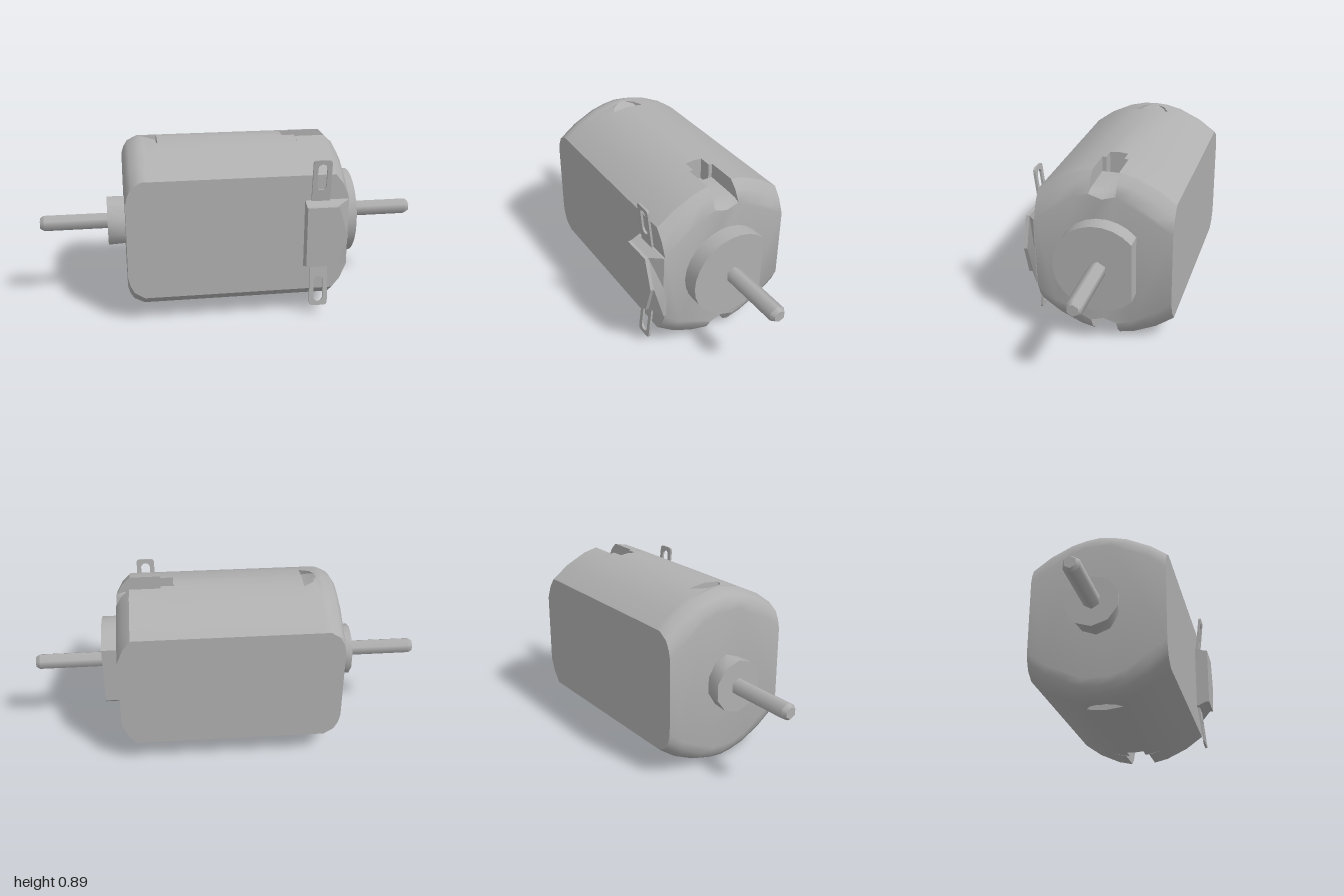
import * as THREE from 'three';
import { toCreasedNormals } from 'three/addons/utils/BufferGeometryUtils.js';

const CY = 0.447, CZ = -0.035;          // shaft axis
const steel = new THREE.MeshStandardMaterial({ color: 0xb0b0b0 });
steel.name = 'steel grey';

function add(group, name, geometry) {
  const mesh = new THREE.Mesh(geometry, steel);
  mesh.name = name;
  group.add(mesh);
  return mesh;
}

// Closed solid through rings that run counterclockwise seen from the last ring's side
function loft(rings, flatten, axis, crease) {
  const pos = [];
  const tri = (a, b, c) => {
    const n = b.clone().sub(a).cross(c.clone().sub(a));
    if (n.length() > 1e-8) pos.push(...a, ...b, ...c);
  };
  for (let i = 0; i < rings.length - 1; i++) {
    const p = rings[i], q = rings[i + 1];
    p.forEach((a, j) => {
      const k = (j + 1) % p.length;
      tri(a, p[k], q[k]);
      tri(a, q[k], q[j]);
    });
  }
  for (const [ring, sign] of [[rings[0], -1], [rings[rings.length - 1], 1]]) {
    for (const f of THREE.ShapeUtils.triangulateShape(ring.map(flatten), [])) {
      const [a, b, c] = f.map((i) => ring[i]);
      const n = b.clone().sub(a).cross(c.clone().sub(a));
      if (n.dot(axis) * sign > 0) tri(a, b, c);
      else tri(a, c, b);
    }
  }
  const g = new THREE.BufferGeometry();
  g.setAttribute('position', new THREE.Float32BufferAttribute(pos, 3));
  return toCreasedNormals(g, crease);
}

// Half height of the can at a distance from its middle
const ARC = [[0, 0.445], [0.07, 0.439], [0.14, 0.422], [0.25, 0.371], [0.339, 0.307]];
function canHeight(z, drop) {
  const d = Math.abs(z);
  let i = 1;
  while (i < ARC.length - 1 && d > ARC[i][0]) i++;
  const [z0, y0] = ARC[i - 1], [z1, y1] = ARC[i];
  return y0 + (y1 - y0) * (d - z0) / (z1 - z0) - drop * (1 + 0.45 * d / 0.339);
}

// Can cross-section with a notch of half width w, floor at side and middle heights
function canRing([x, drop, w, side = 1, mid = side]) {
  const h = (z) => canHeight(z, drop);
  const top = [-0.339, -0.25, -0.14, -w].map((z) => [z, h(z)]);
  top.push([-w, Math.min(side, h(w))], [0, Math.min(mid, h(0))], [w, Math.min(side, h(w))]);
  top.push(...[w, 0.14, 0.25, 0.339].map((z) => [z, h(z)]));
  const all = [...top, ...top.map(([z, y]) => [-z, -y])];
  return all.map(([z, y]) => new THREE.Vector3(x, CY + y, CZ + z));
}

function buildCan() {
  const sections = [
    // rounded closed end
    [-0.56, 0.08, 0.065], [-0.55, 0.05, 0.065], [-0.53, 0.022, 0.065], [-0.48, 0, 0.065],
    // punched dent
    [-0.45, 0, 0.02], [-0.43, 0, 0.06, 0.428], [-0.38, 0, 0.09, 0.405], [-0.38, 0, 0.09],
    // narrow slot, then wide channel out through the end
    [0.27, 0, 0.045], [0.27, 0, 0.045, 0.33], [0.335, 0, 0.045, 0.33],
    [0.335, 0, 0.065, 0.365], [0.49, 0, 0.065, 0.36], [0.53, 0.035, 0.065, 0.357, 0.345],
    [0.56, 0.085, 0.065, 0.345, 0.325],
  ];
  return loft(sections.map(canRing), (p) => new THREE.Vector2(-p.z, p.y),
    new THREE.Vector3(1, 0, 0), 0.7);
}

// Cylinder along x on the shaft axis
function axleCylinder(x0, x1, r0, r1, sides) {
  const g = new THREE.CylinderGeometry(r1, r0, x1 - x0, sides, 1, false, Math.PI / 2);
  g.rotateZ(-Math.PI / 2);
  return g.translate((x0 + x1) / 2, CY, CZ);
}

// Round boss with its back cut flat
function buildBoss() {
  const s = new THREE.Shape();
  const r = 0.225, a = Math.acos(0.165 / r);
  s.absarc(0, 0, r, -Math.PI + a, Math.PI - a, false);
  s.closePath();
  const g = new THREE.ExtrudeGeometry(s, { depth: 0.09, bevelEnabled: false, curveSegments: 10 });
  g.rotateY(-Math.PI / 2);            // shape x to z, depth to -x
  g.translate(0.645, CY, CZ);
  return toCreasedNormals(g, 0.7);
}

// Terminal block with sloping sides
function buildBlock() {
  const ring = (z, pts) => pts.map(([x, y]) => new THREE.Vector3(x, y, z));
  const base = [[0.335, 0.27], [0.56, 0.27], [0.56, CY], [0.56, 0.624], [0.335, 0.624]];
  const face = [[0.335, 0.29], [0.495, 0.29], [0.545, CY], [0.495, 0.604], [0.335, 0.604]];
  return loft([ring(0.295, base), ring(0.31, base), ring(0.355, face), ring(0.373, face)],
    (p) => new THREE.Vector2(p.x, p.y), new THREE.Vector3(0, 0, 1), 0.3);
}

// Flat solder lug with a long eye, standing up from y = 0
function buildLug() {
  const s = new THREE.Shape();
  const w = 0.047, h = 0.235, c = 0.02;
  s.moveTo(-w, 0).lineTo(w, 0).lineTo(w, h - c).quadraticCurveTo(w, h, w - c, h);
  s.lineTo(c - w, h).quadraticCurveTo(-w, h, -w, h - c).closePath();
  const eye = new THREE.Path();
  eye.absarc(0, 0.19, 0.024, 0, Math.PI, false);
  eye.absarc(0, 0.1, 0.024, Math.PI, Math.PI * 2, false);
  s.holes.push(eye);
  return new THREE.ExtrudeGeometry(s, { depth: 0.011, bevelEnabled: false, curveSegments: 5 });
}

export function createModel() {
  const motor = new THREE.Group();
  motor.name = 'electricMotor';

  add(motor, 'can', buildCan());
  add(motor, 'frontBoss', buildBoss());

  // Rear boss, flaring slightly outward in depth only
  const rear = axleCylinder(-0.65, -0.55, 0.133, 0.133, 10);
  const p = rear.attributes.position;
  for (let i = 0; i < p.count; i++) {
    if (p.getX(i) > -0.6) p.setZ(i, CZ + (p.getZ(i) - CZ) * 0.84);
  }
  add(motor, 'rearBoss', toCreasedNormals(rear, 0.7));

  // Six-sided shaft with chamfered tips
  add(motor, 'shaft', axleCylinder(-0.98, 0.98, 0.043, 0.043, 6));
  add(motor, 'rightTip', axleCylinder(0.98, 1, 0.043, 0.03, 6));
  add(motor, 'leftTip', axleCylinder(-1, -0.98, 0.03, 0.043, 6));

  add(motor, 'terminalBlock', buildBlock());

  // Upper and lower solder lugs, leaning outward
  for (const side of [1, -1]) {
    const g = buildLug();
    if (side < 0) g.rotateZ(Math.PI);
    g.rotateX(side * 0.11);
    g.translate(0.413, CY + side * 0.158, 0.302);
    add(motor, side > 0 ? 'upperLug' : 'lowerLug', g);
  }
  return motor;
}
